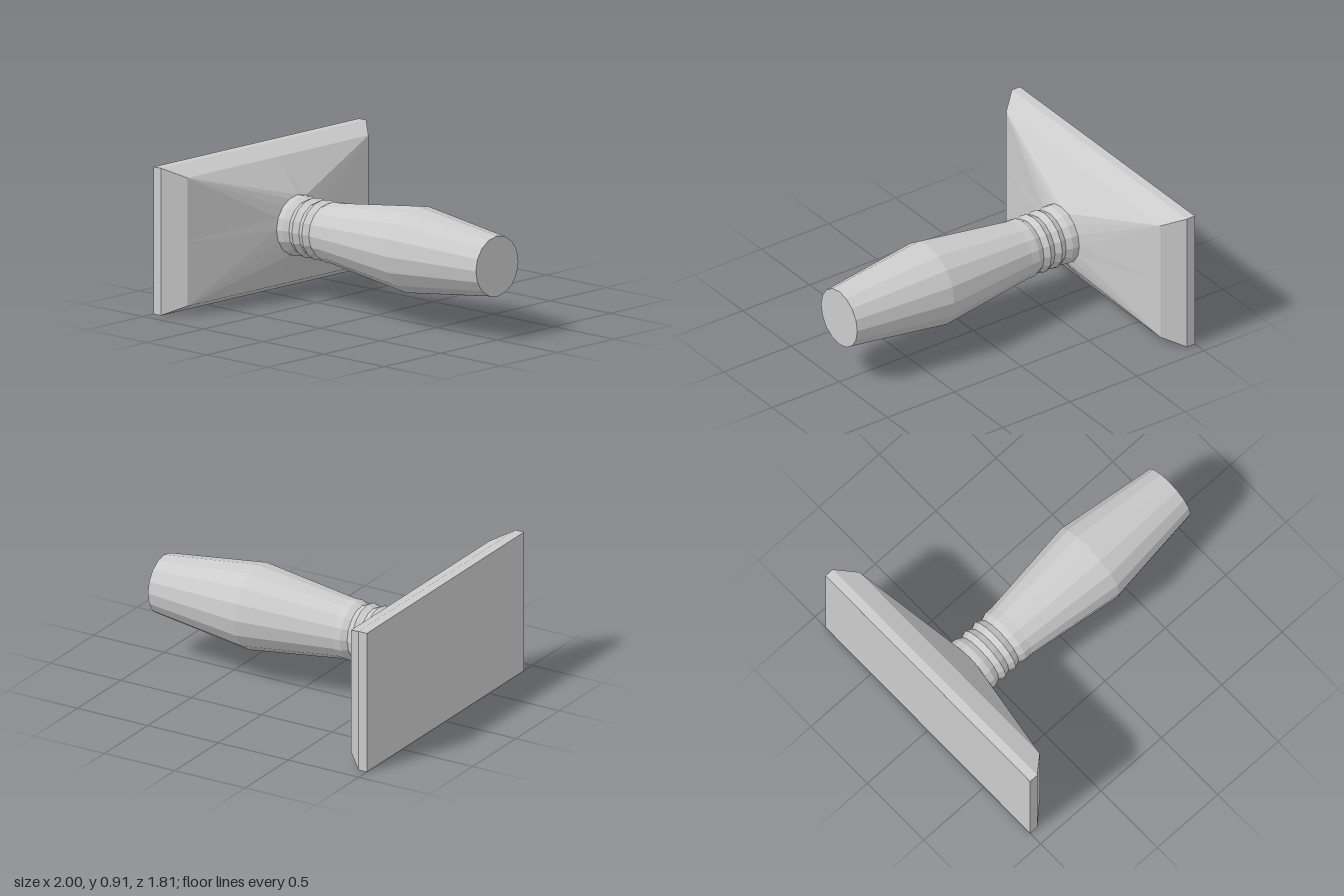
import * as THREE from 'three';

const SIDES = 16;
const AXIS_Y = 0.457; // height of the long axis
const NECK_X = -0.655, NECK_R = 0.188;

const material = new THREE.MeshStandardMaterial({ color: 0xcccccc, flatShading: true });

// Cross-sections across the x axis, one point per side
function circleRing(x, r) {
  return Array.from({ length: SIDES }, (_, k) => {
    const a = (k / SIDES) * Math.PI * 2;
    return new THREE.Vector3(x, r * Math.cos(a), r * Math.sin(a));
  });
}

// Points snap to the rectangle's corners, or to the middle of its edges
function rectRing(x, halfY, halfZ) {
  const snap = (v) => (Math.abs(v) < 1e-6 ? 0 : Math.sign(v));
  return circleRing(x, 1).map((p) => new THREE.Vector3(x, halfY * snap(p.y), halfZ * snap(p.z)));
}

// Joins successive rings with faces, leaving out the collapsed ones
function loft(rings) {
  const positions = [];
  const tri = (a, b, c) => {
    const area = b.clone().sub(a).cross(c.clone().sub(a)).length();
    if (area > 1e-9) for (const p of [a, b, c]) positions.push(p.x, p.y, p.z);
  };
  for (let i = 0; i < rings.length - 1; i++) {
    for (let k = 0; k < SIDES; k++) {
      const n = (k + 1) % SIDES;
      const [a, b] = [rings[i][k], rings[i][n]];
      const [c, d] = [rings[i + 1][k], rings[i + 1][n]];
      tri(a, b, c);
      tri(b, d, c);
    }
  }
  const geometry = new THREE.BufferGeometry();
  geometry.setAttribute('position', new THREE.Float32BufferAttribute(positions, 3));
  geometry.computeVertexNormals();
  return geometry;
}

function addPart(group, name, rings) {
  const mesh = new THREE.Mesh(loft(rings), material);
  mesh.name = name;
  mesh.position.y = AXIS_Y;
  group.add(mesh);
}

export function createModel() {
  const group = new THREE.Group();
  group.name = 'stampTool';

  // Rectangular plate with bevelled rim, tapering to the round neck
  addPart(group, 'plate', [
    circleRing(-1, 0),
    rectRing(-1, 0.457, 0.907),
    rectRing(-0.94, 0.457, 0.907),
    rectRing(-0.82, 0.398, 0.8),
    circleRing(NECK_X, NECK_R),
  ]);

  // Collar with three V-shaped grooves
  const collar = [circleRing(NECK_X, NECK_R), circleRing(-0.61, NECK_R)];
  for (let i = 0; i < 3; i++) {
    const x = -0.57 + i * 0.0825;
    collar.push(circleRing(x, 0.17), circleRing(x + 0.041, NECK_R));
  }
  collar.push(circleRing(-0.31, NECK_R));
  addPart(group, 'groovedCollar', collar);

  // Swelling grip with flat end
  addPart(group, 'grip', [
    circleRing(-0.31, NECK_R),
    circleRing(0.335, 0.271),
    circleRing(1, NECK_R),
    circleRing(1, 0),
  ]);

  return group;
}
